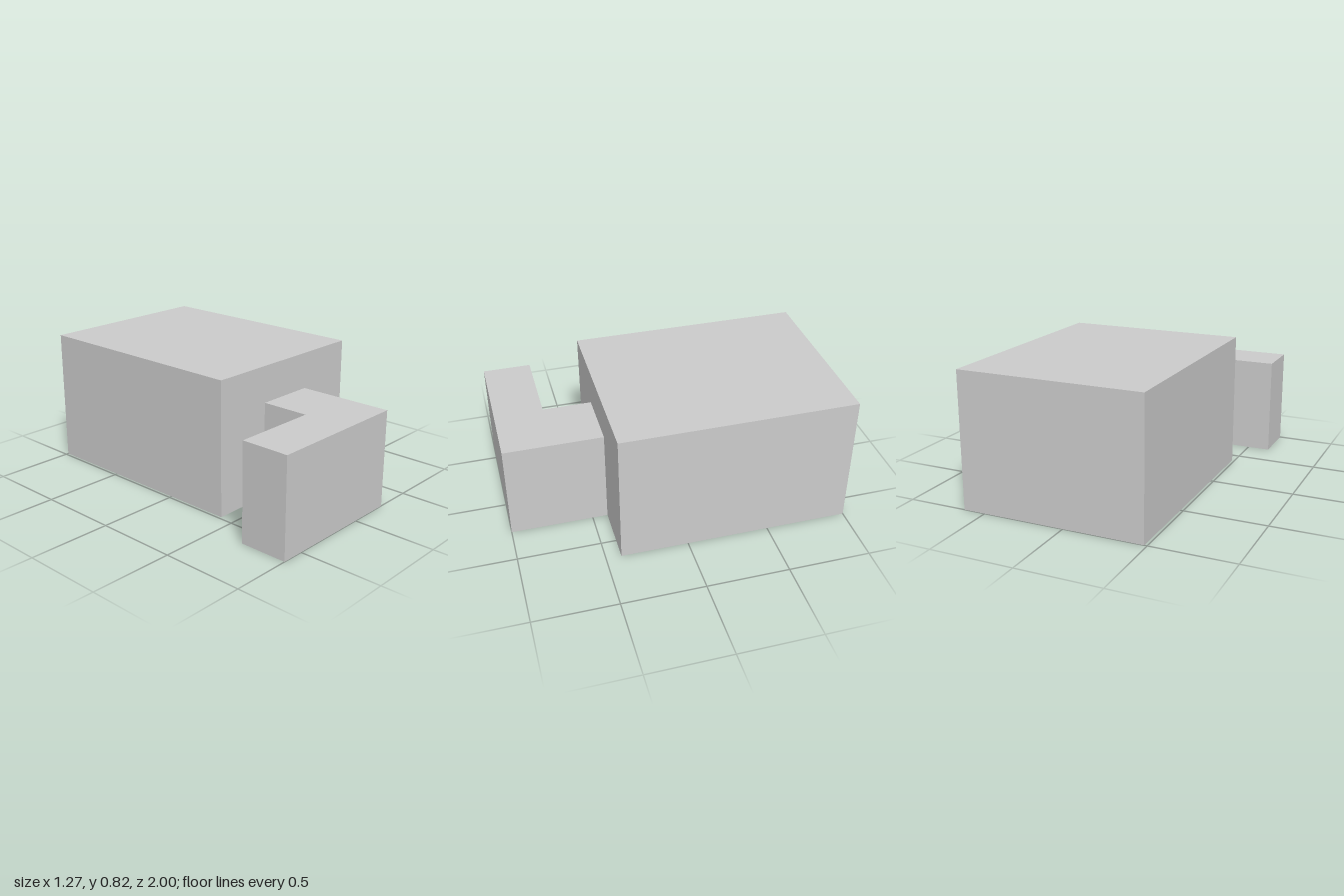
import * as THREE from 'three';

const material = new THREE.MeshStandardMaterial({ color: 0xcccccc, flatShading: true });

// Raise a floor plan, given as [x, z] corners, from the ground to a height
function block(name, plan, height) {
  const shape = new THREE.Shape(plan.map(([x, z]) => new THREE.Vector2(x, -z)));
  const geometry = new THREE.ExtrudeGeometry(shape, { depth: height, bevelEnabled: false });
  geometry.rotateX(-Math.PI / 2);
  const mesh = new THREE.Mesh(geometry, material);
  mesh.name = name;
  return mesh;
}

export function createModel() {
  const model = new THREE.Group();
  model.name = 'building';
  const joint = 0.408;

  // Tall rectangular main hall
  model.add(block('mainHall', [
    [-0.483, joint], [0.636, joint], [0.636, -1], [-0.483, -1],
  ], 0.823));

  // Lower L-shaped wing reaching forward, then turning to the right
  model.add(block('frontWing', [
    [-0.638, 1], [0.262, 1], [0.262, joint],
    [-0.11, joint], [-0.11, 0.705], [-0.638, 0.705],
  ], 0.599));

  return model;
}
